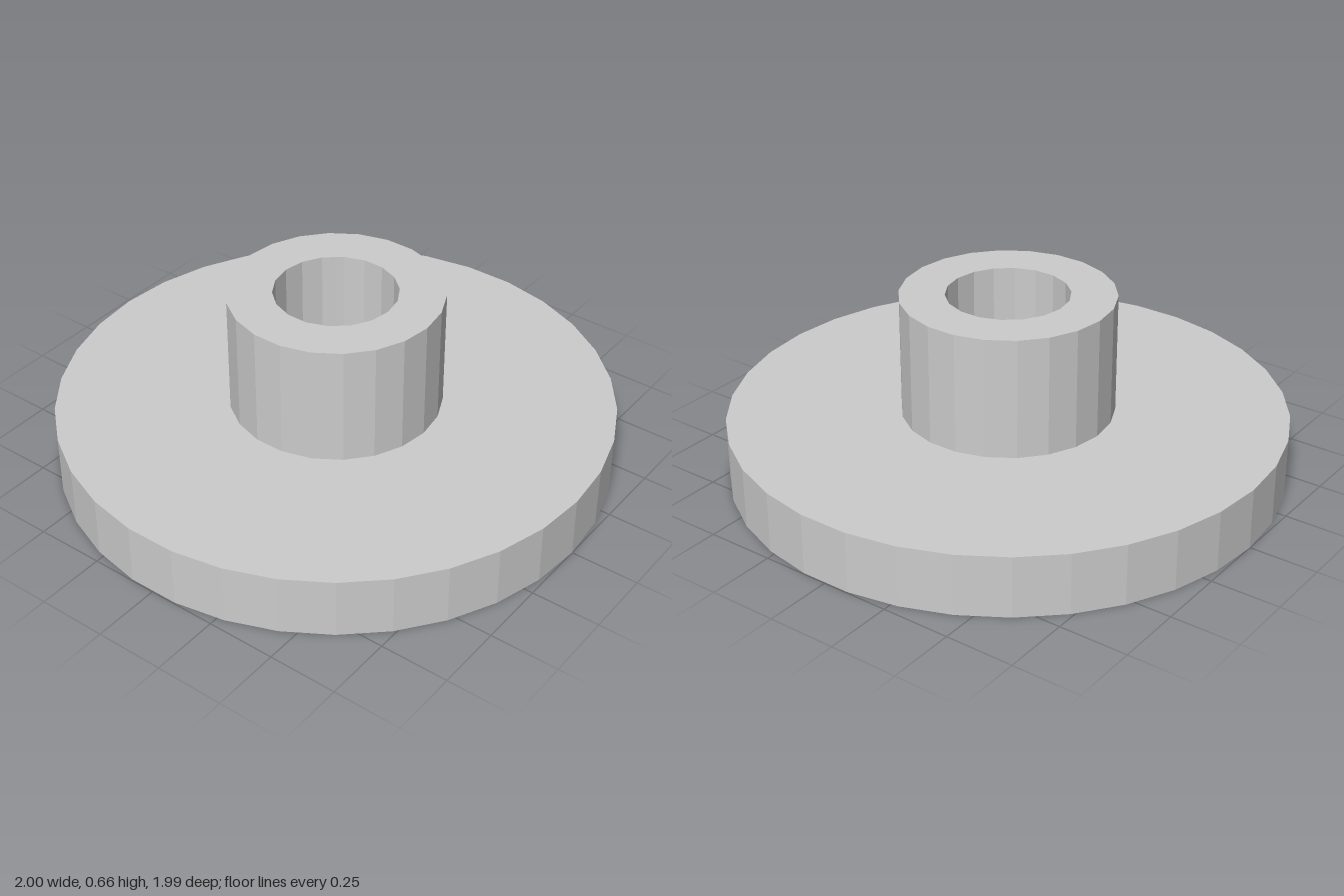
import * as THREE from 'three';

// Radius and number of sides of each outline; every polygon has a corner on the x axis
const FLANGE = { r: 1, n: 34 };
const HUB = { r: 0.382, n: 22 };
const BORE = { r: 0.22, n: 18 };
const FLANGE_TOP = 0.223;
const HUB_TOP = 0.663;

const material = new THREE.MeshStandardMaterial({ color: 0xcccccc, flatShading: true });

function corners({ r, n }) {
  return Array.from({ length: n }, (_, i) => {
    const a = (i / n) * Math.PI * 2;
    return new THREE.Vector2(r * Math.cos(a), r * Math.sin(a));
  });
}

function part(name, geometry) {
  const mesh = new THREE.Mesh(geometry, material);
  mesh.name = name;
  return mesh;
}

// Flat ring between two polygons, facing up or down
function ring(name, outer, inner, y, up = true) {
  const shape = new THREE.Shape(corners(outer));
  shape.holes.push(new THREE.Path(corners(inner)));
  const geometry = new THREE.ShapeGeometry(shape);
  geometry.rotateX(up ? -Math.PI / 2 : Math.PI / 2);
  geometry.translate(0, y, 0);
  return part(name, geometry);
}

// Upright faceted wall, facing outward or (mirrored) inward
function wall(name, { r, n }, y0, y1, inward = false) {
  let geometry = new THREE.CylinderGeometry(r, r, y1 - y0, n, 1, true);
  geometry.rotateY(Math.PI / 2);
  geometry.translate(0, (y0 + y1) / 2, 0);
  if (inward) geometry.scale(-1, 1, 1);
  geometry = geometry.toNonIndexed();
  geometry.computeVertexNormals();
  return part(name, geometry);
}

export function createModel() {
  const model = new THREE.Group();
  model.name = 'flangedBushing';

  // Wide disc at the base
  const flange = new THREE.Group();
  flange.name = 'flange';
  flange.add(
    ring('flangeUnderside', FLANGE, BORE, 0, false),
    wall('flangeRim', FLANGE, 0, FLANGE_TOP),
    ring('flangeTop', FLANGE, HUB, FLANGE_TOP)
  );

  // Raised collar in the middle
  const hub = new THREE.Group();
  hub.name = 'hub';
  hub.add(
    wall('hubWall', HUB, FLANGE_TOP, HUB_TOP),
    ring('hubTop', HUB, BORE, HUB_TOP)
  );

  // Through hole
  model.add(flange, hub, wall('bore', BORE, 0, HUB_TOP, true));
  return model;
}
